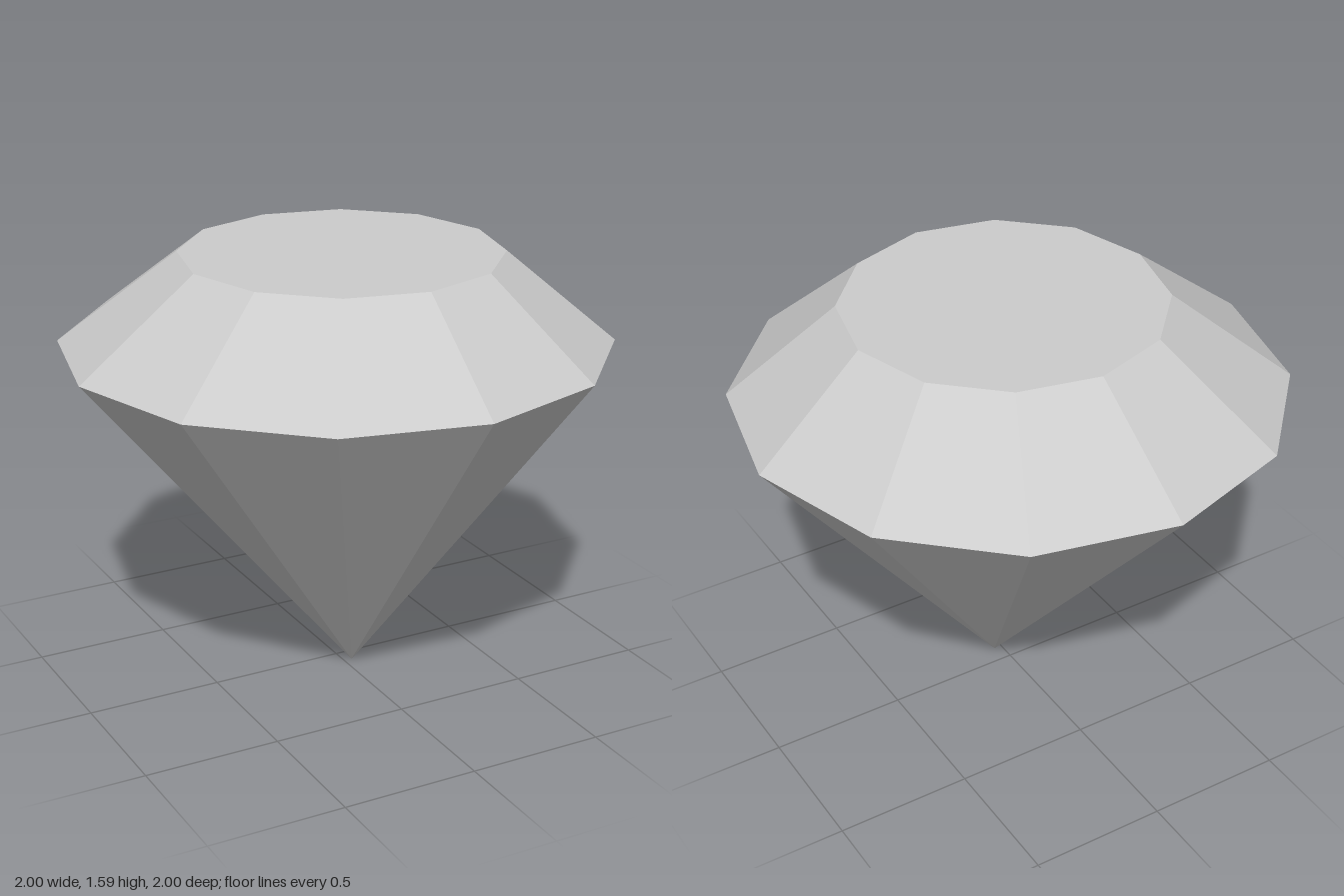
import * as THREE from 'three';

const SIDES = 12;
const TWIST = THREE.MathUtils.degToRad(2.2);
const GIRDLE_Y = 1.255, TABLE_Y = 1.59, TABLE_R = 0.582;
const TIP = [0.03, 0.067];      // x, z of the bottom point
const TABLE = [0.01, 0.022];    // x, z of the table centre

// Open frustum between two heights, sheared so that each end has its own centre
function facetRing(rTop, rBottom, y0, y1, topCentre, bottomCentre) {
  const g = new THREE.CylinderGeometry(rTop, rBottom, y1 - y0, SIDES, 1, true, TWIST);
  g.translate(0, (y0 + y1) / 2, 0);
  const p = g.attributes.position;
  for (let i = 0; i < p.count; i++) {
    const c = p.getY(i) > (y0 + y1) / 2 ? topCentre : bottomCentre;
    p.setX(i, p.getX(i) + c[0]);
    p.setZ(i, p.getZ(i) + c[1]);
  }
  g.computeVertexNormals();
  return g;
}

export function createModel() {
  const gem = new THREE.Group();
  gem.name = 'gem';
  const material = new THREE.MeshStandardMaterial({ color: 0xcccccc, flatShading: true });
  const add = (name, geometry) => {
    const mesh = new THREE.Mesh(geometry, material);
    mesh.name = name;
    gem.add(mesh);
  };

  // Lower cone of facets
  add('pavilion', facetRing(1, 0, 0, GIRDLE_Y, [0, 0], TIP));
  // Sloping facets above the widest edge
  add('crown', facetRing(TABLE_R, 1, GIRDLE_Y, TABLE_Y, TABLE, [0, 0]));
  // Flat top face
  const table = new THREE.CircleGeometry(TABLE_R, SIDES, TWIST);
  table.rotateX(-Math.PI / 2).translate(TABLE[0], TABLE_Y, TABLE[1]);
  add('table', table);

  return gem;
}
